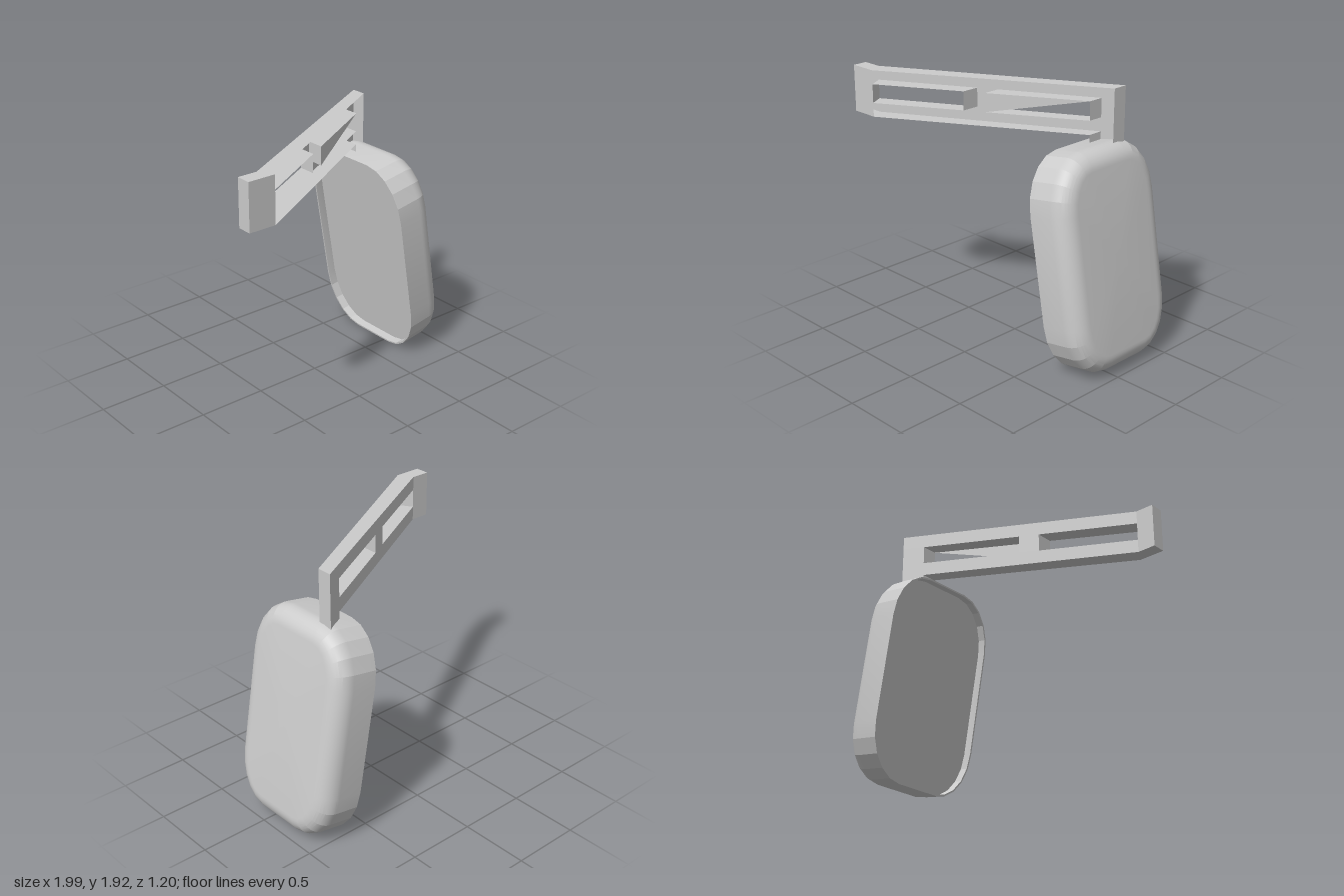
import * as THREE from 'three';
import { toCreasedNormals } from 'three/addons/utils/BufferGeometryUtils.js';

const material = new THREE.MeshStandardMaterial({ color: 0xcccccc, side: THREE.DoubleSide });

function meshFrom(name, triangles, crease = 0) {
  let geometry = new THREE.BufferGeometry();
  geometry.setAttribute('position', new THREE.Float32BufferAttribute(triangles.flat(), 3));
  geometry.computeVertexNormals();
  if (crease) geometry = toCreasedNormals(geometry, crease);
  const mesh = new THREE.Mesh(geometry, material);
  mesh.name = name;
  return mesh;
}

const quad = (a, b, c, d) => [a, b, c, a, c, d];

// Bent bracket: a sheet-like shell, open along its slanted front
const KINK = -0.8;
const front = ([x, y]) => [x, y, 0.595 - Math.max(0, x - KINK) * 0.581];
const back = ([x, y]) => {
  const bx = x === KINK ? -0.86 : x;
  return [bx, y, 0.49 - Math.max(0, bx + 0.86) * 0.562];
};
const corners = (x0, x1, y0, y1) => [[x0, y0], [x1, y0], [x1, y1], [x0, y1]];

function createArm() {
  const arm = new THREE.Group();
  arm.name = 'arm';
  const bottom = 1.585, top = 1.92, slotLow = 1.685, slotHigh = 1.82, foot = 1.51;

  // Edge walls joining the front and back outlines
  const walls = (loop) => loop.flatMap((p, i) => {
    const q = loop[(i + 1) % loop.length];
    return quad(front(p), back(p), back(q), front(q));
  });
  const outline = [[-1, bottom], [KINK, bottom], [0.53, bottom], [0.53, foot],
    [0.67, foot], [0.67, top], [KINK, top], [-1, top]];
  arm.add(meshFrom('armEdges', walls(outline)));

  // Walls of the two slots
  const slots = [[KINK, -0.23], [-0.1, 0.53]];
  arm.add(meshFrom('slotWalls', slots.flatMap(([a, b]) =>
    walls(corners(a, b, slotLow, slotHigh).reverse()))));

  // Back plate: end tab, two rails, pillar between the slots, stem
  const plates = [
    [-1, KINK, bottom, top], [KINK, 0.67, slotHigh, top], [KINK, 0.53, bottom, slotLow],
    [-0.23, -0.1, slotLow, slotHigh], [0.53, 0.67, foot, slotHigh],
  ];
  arm.add(meshFrom('backPlate', plates.flatMap((p) =>
    quad(...corners(...p).reverse().map(back)))));

  // Front of the end tab and the triangular web over the outer slot
  arm.add(meshFrom('endTab', quad(...corners(-1, KINK, bottom, top).map(front))));
  arm.add(meshFrom('slotWeb', [[-0.1, slotLow], [0.53, slotHigh], [-0.1, slotHigh]].map(front)));
  return arm;
}

// Rounded outline in the housing's own yz plane, at a depth along x
function ring(depth, inset) {
  const points = [], steps = 5;
  const halfY = 0.768 - inset, halfZ = 0.475 - inset;
  const ry = 0.38 - inset, rz = 0.3 - inset;
  for (let c = 0; c < 4; c++) {
    const sy = c === 0 || c === 3 ? 1 : -1, sz = c < 2 ? 1 : -1;
    for (let i = 0; i <= steps; i++) {
      const a = (c + i / steps) * Math.PI / 2;
      points.push([depth, sy * (halfY - ry) + ry * Math.cos(a), sz * (halfZ - rz) + rz * Math.sin(a)]);
    }
  }
  return points;
}

function createHousing() {
  const housing = new THREE.Group();
  housing.name = 'mirrorHousing';
  const depth = 0.315, fillet = 0.13, lip = 0.012, recess = 0.06;

  // Shell from the recessed lip, over the side, round the edge
  const rings = [ring(recess, lip), ring(0, lip), ring(0, 0)];
  for (let i = 0; i <= 10; i++) {
    const a = i / 10 * Math.PI / 2;
    rings.push(ring(depth - fillet + fillet * Math.sin(a), fillet * (1 - Math.cos(a))));
  }
  const triangles = [];
  const count = rings[0].length;
  for (let r = 0; r < rings.length - 1; r++) {
    for (let i = 0; i < count; i++) {
      const j = (i + 1) % count;
      triangles.push(...quad(rings[r][i], rings[r][j], rings[r + 1][j], rings[r + 1][i]));
    }
  }
  // Flat outer face
  const rim = rings[rings.length - 1];
  rim.forEach((p, i) => triangles.push([depth, 0, 0], p, rim[(i + 1) % count]));
  housing.add(meshFrom('shell', triangles, 0.2));

  // Flat mirror panel set into the open side
  const edge = rings[0];
  housing.add(meshFrom('mirrorPanel', edge.flatMap((p, i) =>
    [[recess, 0, 0], edge[(i + 1) % count], p])));

  housing.position.set(0.565, 0.7575, -0.125);
  housing.rotation.z = 0.17;
  return housing;
}

export function createModel() {
  const model = new THREE.Group();
  model.name = 'wingMirror';
  model.add(createArm(), createHousing());
  return model;
}
